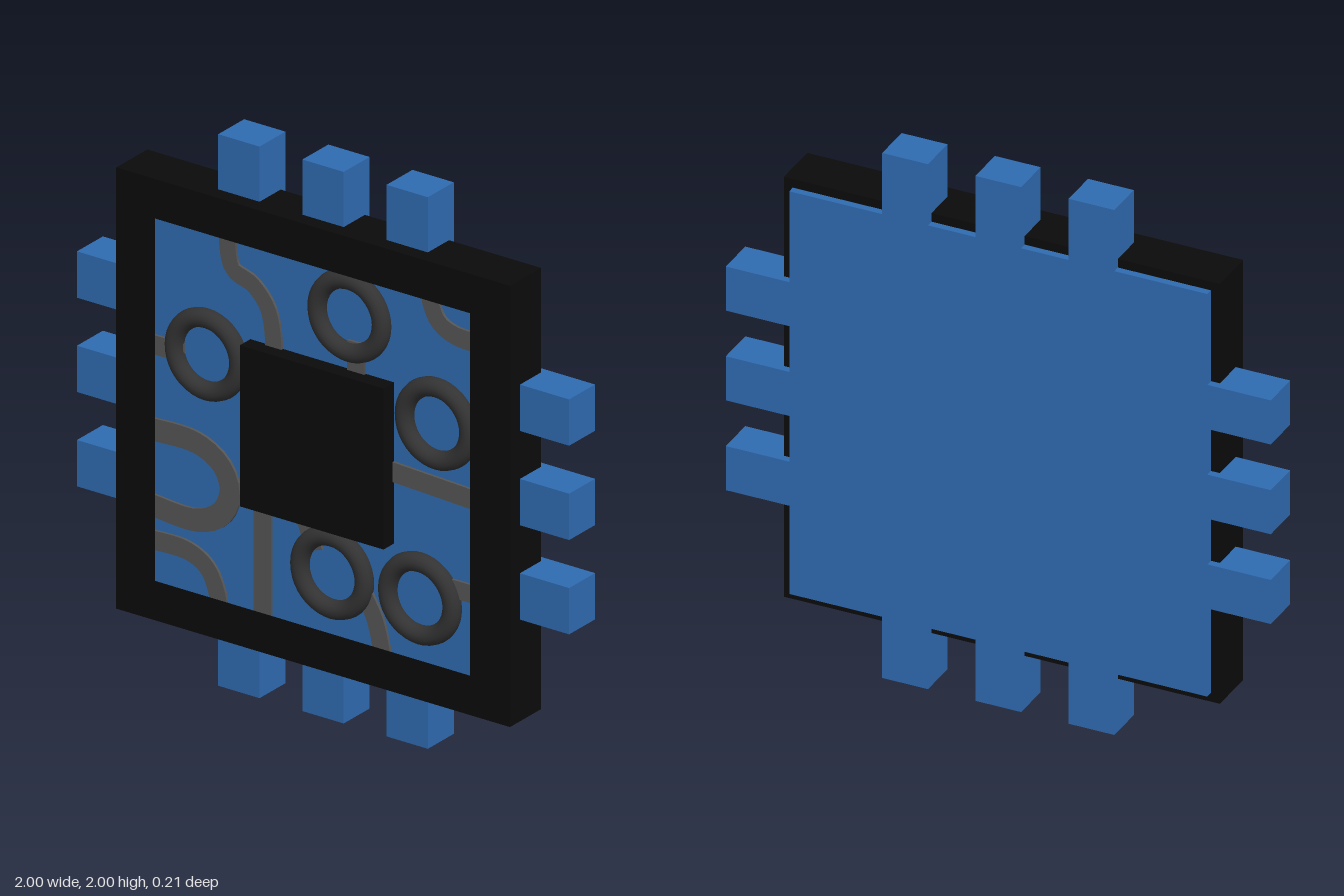
import * as THREE from 'three';

const mat = (color, extra = {}) => new THREE.MeshStandardMaterial({ color, ...extra });

export function createModel() {
  const model = new THREE.Group();
  const chip = new THREE.Group();
  chip.position.y = 1; // everything below is laid out around the board centre
  model.add(chip);

  const blue = mat(0x2f6cb2);
  const black = mat(0x0b0b0b, { flatShading: true, side: THREE.DoubleSide });
  const grey = mat(0x555555);
  const dark = mat(0x333333);

  const add = (name, geometry, material, x = 0, y = 0, z = 0) => {
    const mesh = new THREE.Mesh(geometry, material);
    mesh.name = name;
    mesh.position.set(x, y, z);
    chip.add(mesh);
    return mesh;
  };

  // Board, with three square pins on each edge
  const BACK = -0.103, TOP = 0.043, HALF = 0.767;
  const thick = TOP - BACK, midZ = (TOP + BACK) / 2;
  add('board', new THREE.BoxGeometry(HALF * 2, HALF * 2, thick), blue, 0, 0, midZ);
  const pinLength = 1 - HALF, pinCentre = (1 + HALF) / 2;
  for (const side of [-1, 1]) {
    for (const offset of [-0.342, 0, 0.342]) {
      add('pin', new THREE.BoxGeometry(0.168, pinLength, thick), blue, offset, side * pinCentre, midZ);
      add('pin', new THREE.BoxGeometry(pinLength, 0.168, thick), blue, side * pinCentre, offset - 0.005, midZ);
    }
  }

  // Square frame shell: back lip, outer wall and front face, open on the inside
  const profile = [[HALF, -0.076], [0.8, -0.076], [0.8, 0.099], [0.649, 0.099]]
    .map(([r, z]) => new THREE.Vector2(r * Math.SQRT2, z));
  const frame = new THREE.LatheGeometry(profile, 4);
  frame.rotateY(Math.PI / 4).rotateX(Math.PI / 2);
  const pos = frame.attributes.position;
  for (let i = 0; i < pos.count; i++) { // the window is slightly taller than wide
    if (Math.abs(pos.getX(i)) < 0.7) {
      pos.setXY(i, Math.sign(pos.getX(i)) * 0.64 - 0.003, Math.sign(pos.getY(i)) * 0.657);
    }
  }
  frame.computeVertexNormals();
  black.side = THREE.FrontSide;
  add('frame', frame, black);

  // Central processor block
  add('processor', new THREE.BoxGeometry(0.584, 0.584, 0.07), black, -0.003, 0, 0.068);

  // Ring components
  const ring = new THREE.TorusGeometry(0.131, 0.034, 14, 40);
  for (const [x, y] of [[-0.465, 0.195], [0.115, 0.49], [0.47, 0.195], [0.045, -0.46], [0.402, -0.457]]) {
    add('ring', ring, dark, x, y, 0.052);
  }

  // Raised circuit tracks: a flat ribbon of given width along a smooth path
  const track = (width, points) => {
    const curve = new THREE.CatmullRomCurve3(points.map(([x, y]) => new THREE.Vector3(x, y, 0)));
    const n = points.length > 2 ? 28 : 1;
    const left = [], right = [];
    for (let i = 0; i <= n; i++) {
      const p = curve.getPointAt(i / n), t = curve.getTangentAt(i / n);
      const dx = -t.y * width / 2, dy = t.x * width / 2;
      left.push(new THREE.Vector2(p.x + dx, p.y + dy));
      right.unshift(new THREE.Vector2(p.x - dx, p.y - dy));
    }
    const shape = new THREE.Shape([...left, ...right]);
    const geometry = new THREE.ExtrudeGeometry(shape, { depth: 0.02, bevelEnabled: false });
    add('track', geometry, grey, 0, 0, TOP - 0.01);
  };
  track(0.066, [[-0.381, 0.74], [-0.381, 0.6], [-0.36, 0.53], [-0.28, 0.497], [-0.22, 0.43], [-0.198, 0.34], [-0.198, 0.2]]);
  track(0.07, [[0.435, 0.74], [0.443, 0.63], [0.475, 0.565], [0.54, 0.533], [0.72, 0.532]]);
  track(0.07, [[0.14, 0.4], [0.14, 0.2]]);
  track(0.07, [[-0.72, 0.172], [-0.56, 0.172]]);
  track(0.072, [[0.25, -0.028], [0.72, -0.048]]);
  track(0.082, [[-0.72, -0.137], [-0.5, -0.14], [-0.405, -0.195], [-0.372, -0.28], [-0.405, -0.365], [-0.5, -0.417], [-0.72, -0.41]]);
  track(0.07, [[-0.72, -0.538], [-0.54, -0.54], [-0.465, -0.58], [-0.425, -0.66], [-0.415, -0.74]]);
  track(0.07, [[-0.24, -0.25], [-0.24, -0.74]]);
  track(0.07, [[-0.085, -0.25], [-0.03, -0.4]]);
  track(0.07, [[0.17, -0.5], [0.215, -0.58], [0.24, -0.67], [0.25, -0.74]]);
  track(0.066, [[0.5, -0.387], [0.72, -0.387]]);

  return model;
}
